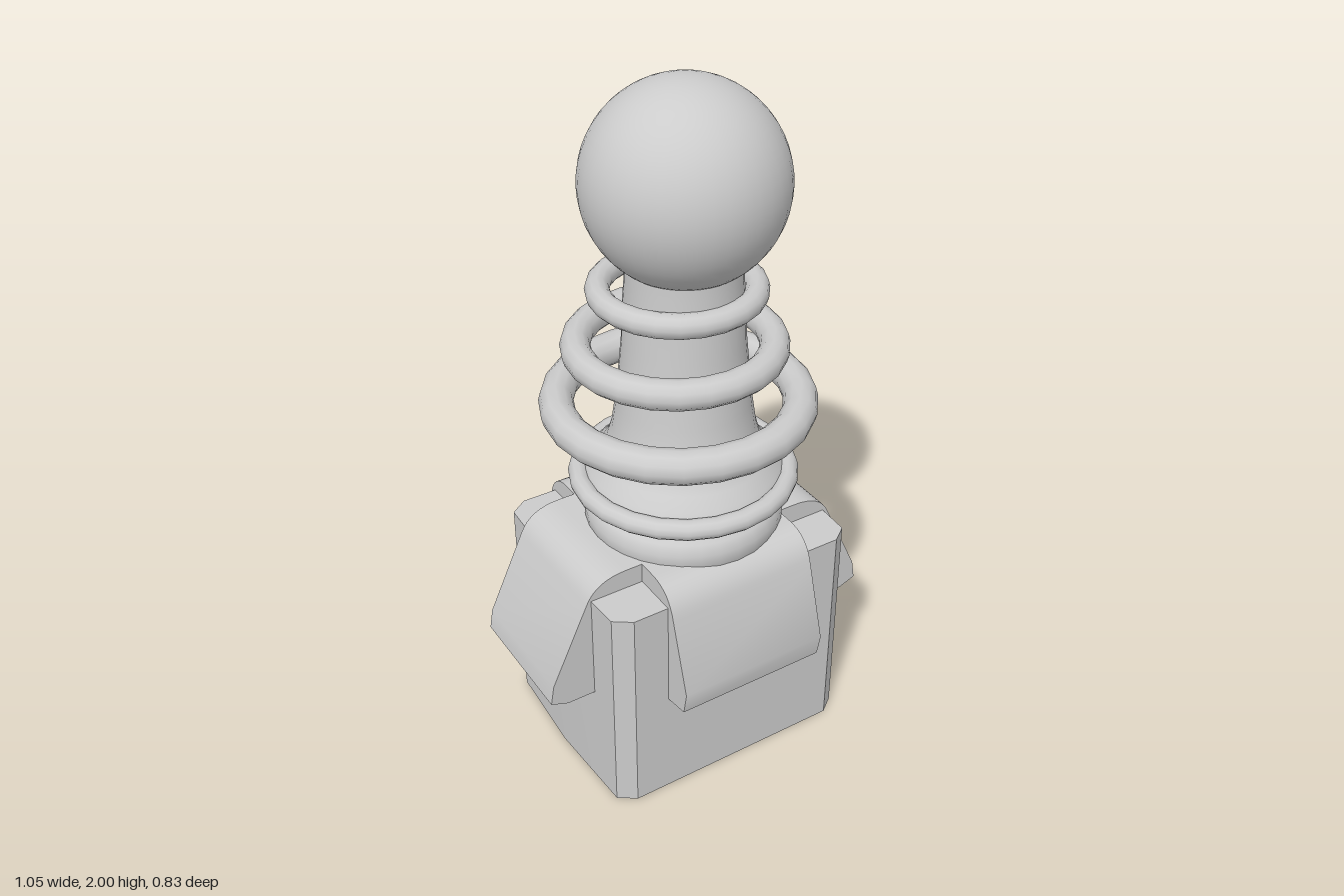
import * as THREE from 'three';
import { toCreasedNormals } from 'three/addons/utils/BufferGeometryUtils.js';

const material = new THREE.MeshStandardMaterial({ color: 0xcccccc });

function addMesh(parent, name, geometry, x = 0, y = 0, z = 0) {
  const mesh = new THREE.Mesh(geometry, material);
  mesh.name = name;
  mesh.position.set(x, y, z);
  parent.add(mesh);
  return mesh;
}

const shapeFrom = (points) => new THREE.Shape(points.map(([x, y]) => new THREE.Vector2(x, y)));

// Block with cut corners and slightly bowed sides
function blockGeometry() {
  const shape = shapeFrom([
    [0.335, -0.32], [0.382, -0.285], [0.396, 0], [0.382, 0.285], [0.335, 0.32],
    [-0.335, 0.32], [-0.385, 0.285], [-0.4, 0], [-0.385, -0.285], [-0.335, -0.32],
  ]);
  const geometry = new THREE.ExtrudeGeometry(shape, { depth: 0.67, bevelEnabled: false });
  geometry.rotateX(-Math.PI / 2);
  return toCreasedNormals(geometry, 0.4);
}

// Flap that runs outward along +x, rounds over the block's edge and flares down
function flapGeometry(width, top, shoulder, lip, toe) {
  const shape = new THREE.Shape();
  shape.moveTo(0.1, 0.34);
  shape.lineTo(toe, 0.34);
  shape.lineTo(lip[0], lip[1]);
  shape.lineTo(lip[2], lip[3]);
  shape.lineTo(shoulder[0], shoulder[1]);
  shape.quadraticCurveTo(shoulder[2], 0.73, top, 0.73);
  shape.lineTo(0.1, 0.73);
  const geometry = new THREE.ExtrudeGeometry(shape, { depth: width, bevelEnabled: false, curveSegments: 8 });
  geometry.translate(0, 0, -width / 2);
  return toCreasedNormals(geometry, 0.5);
}

export function createModel() {
  const model = new THREE.Group();
  model.name = 'ringedFinial';

  addMesh(model, 'baseBlock', blockGeometry());

  // Two wide side flaps and two steeper front and back flaps
  const sideFlap = flapGeometry(0.383, 0.28, [0.405, 0.66, 0.375], [0.527, 0.36, 0.517, 0.42], 0.475);
  const frontFlap = flapGeometry(0.455, 0.24, [0.347, 0.64, 0.325], [0.4, 0.355, 0.413, 0.425], 0.32);
  addMesh(model, 'leftFlap', sideFlap, 0, 0, -0.006);
  addMesh(model, 'rightFlap', sideFlap, 0, 0, -0.006).rotation.y = Math.PI;
  addMesh(model, 'frontFlap', frontFlap, -0.002).rotation.y = -Math.PI / 2;
  addMesh(model, 'backFlap', frontFlap, -0.002).rotation.y = Math.PI / 2;

  // Column: rounded foot, flared skirt and tapering neck
  const profile = [
    [0.24, 0.66], [0.268, 0.69], [0.283, 0.72], [0.285, 0.76], [0.272, 0.79], [0.245, 0.81],
    [0.24, 0.83], [0.285, 0.87], [0.272, 0.9], [0.24, 0.93], [0.215, 0.97], [0.2, 1.02],
    [0.188, 1.1], [0.178, 1.19], [0.168, 1.29], [0.163, 1.4], [0.157, 1.47], [0.157, 1.54],
  ].map(([r, y]) => new THREE.Vector2(r, y));
  addMesh(model, 'column', toCreasedNormals(new THREE.LatheGeometry(profile, 32), 0.7), 0.012, 0, 0.015);

  // Rings: name, outer radius, tube radius, centre
  const rings = [
    ['collarRing', 0.325, 0.029, 0.01, 0.865, 0.016],
    ['largeRing', 0.388, 0.049, 0.021, 1.069, -0.027],
    ['middleRing', 0.312, 0.042, 0.008, 1.25, -0.024],
    ['smallRing', 0.246, 0.034, 0.015, 1.415, -0.024],
  ];
  for (const [name, radius, tube, x, y, z] of rings) {
    const geometry = new THREE.TorusGeometry(radius - tube, tube, 12, 24);
    geometry.rotateX(Math.PI / 2);
    addMesh(model, name, geometry, x, y, z);
  }

  addMesh(model, 'ball', new THREE.SphereGeometry(0.273, 40, 28), 0.014, 1.727, 0.014);

  return model;
}
